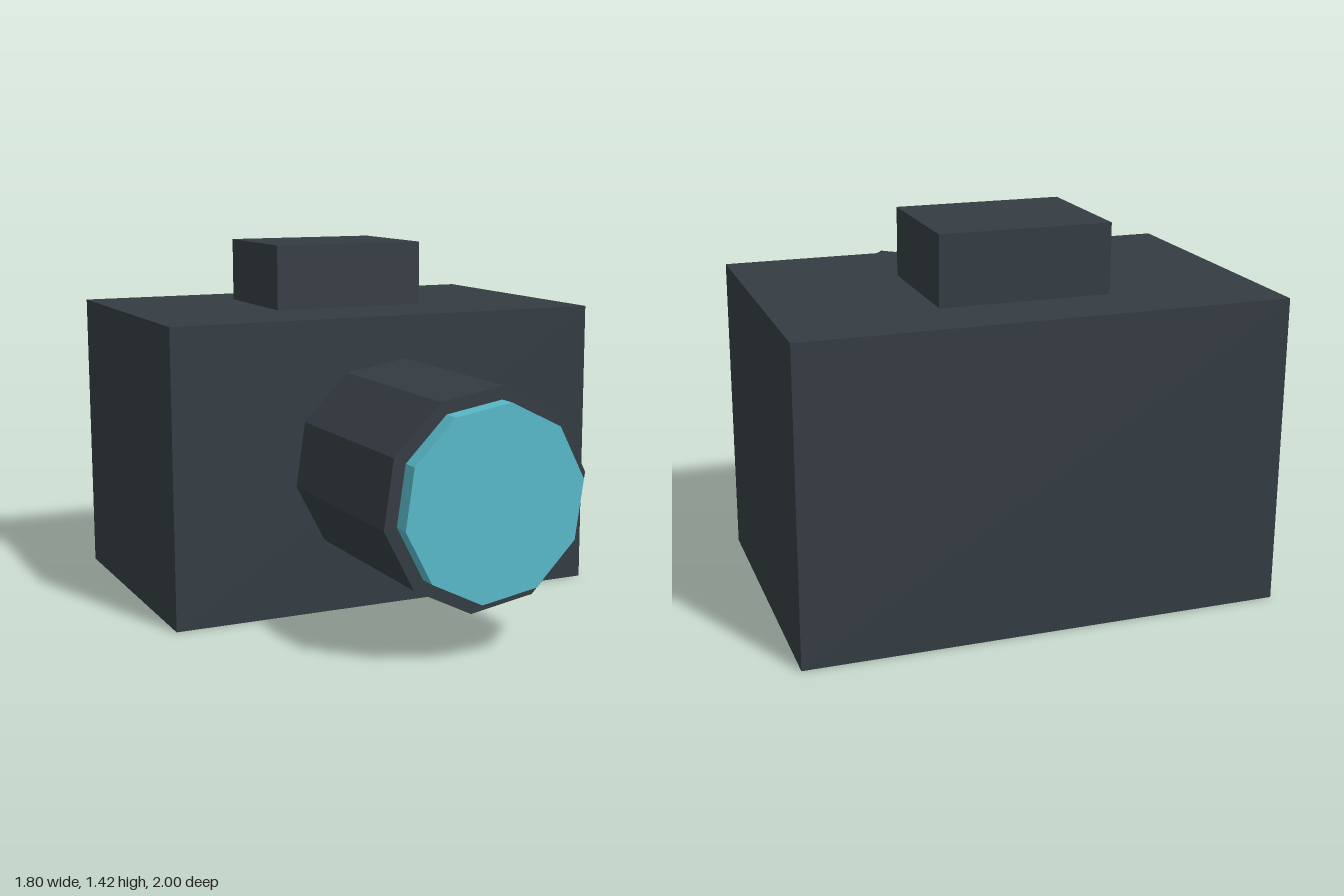
import * as THREE from 'three';

export function createModel() {
  const model = new THREE.Group();
  const casing = new THREE.MeshStandardMaterial({ color: 0x343c42, flatShading: true });
  casing.name = 'dark casing';
  const glass = new THREE.MeshStandardMaterial({ color: 0x59b9ca, flatShading: true });
  glass.name = 'teal glass';

  const add = (name, geometry, material, x, y, z) => {
    const mesh = new THREE.Mesh(geometry, material);
    mesh.name = name;
    mesh.position.set(x, y, z);
    model.add(mesh);
  };

  // Ten-sided cylinder along z, slightly turned about its axis
  const lensPart = (name, radius, back, front, material) => {
    const geometry = new THREE.CylinderGeometry(radius, radius, front - back, 10, 1, false, -0.15);
    geometry.rotateX(Math.PI / 2);
    add(name, geometry, material, 0, 0.584, (back + front) / 2);
  };

  // Body and viewfinder block
  add('body', new THREE.BoxGeometry(1.8, 1.16, 1.16), casing, 0, 0.58, -0.42);
  add('viewfinder', new THREE.BoxGeometry(0.64, 0.26, 0.515), casing, 0, 1.29, -0.4825);

  // Lens barrel and front glass
  lensPart('lensBarrel', 0.41, 0.1, 0.932, casing);
  lensPart('lensGlass', 0.36, 0.9, 1, glass);

  return model;
}
